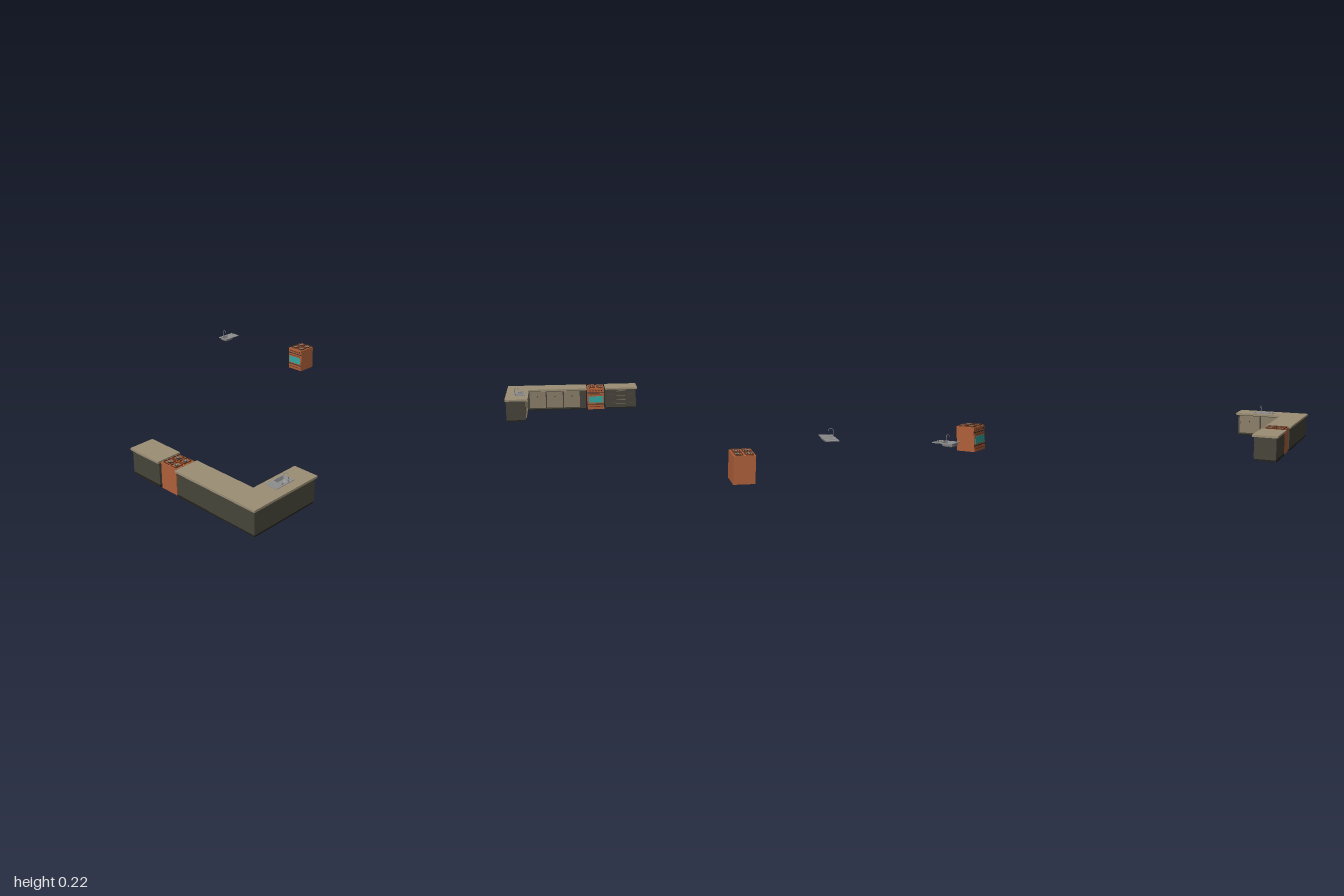
import * as THREE from 'three';

const mat = (color, extra = {}) => new THREE.MeshStandardMaterial({ color, ...extra });
const M = {
  body: mat(0x47453a), dark: mat(0x24231f), top: mat(0x9c8e75), door: mat(0x8b7f69),
  copper: mat(0xb0613a), trim: mat(0x6e3a20), glass: mat(0x35a8a2), black: mat(0x2a2a2a),
  steel: mat(0x909090, { side: THREE.DoubleSide, flatShading: true }), grey: mat(0x8c8c8c),
};

function add(parent, name, geometry, material, x = 0, y = 0, z = 0) {
  const mesh = new THREE.Mesh(geometry, material);
  mesh.name = name;
  mesh.position.set(x, y, z);
  parent.add(mesh);
  return mesh;
}

// Box given by its lower and upper limits
function box(parent, name, material, x0, x1, y0, y1, z0, z1) {
  return add(parent, name, new THREE.BoxGeometry(x1 - x0, y1 - y0, z1 - z0), material,
    (x0 + x1) / 2, (y0 + y1) / 2, (z0 + z1) / 2);
}

const rect = (x0, x1, z0, z1) => [[x0, z0], [x1, z0], [x1, z1], [x0, z1]];
const toPoints = (list) => list.map(([x, z]) => new THREE.Vector2(x, -z));

// Upright slab from a plan outline in x and z, with an optional opening
function slab(parent, name, material, outline, y0, y1, hole) {
  const shape = new THREE.Shape(toPoints(outline));
  if (hole) shape.holes.push(new THREE.Path(toPoints(hole)));
  const g = new THREE.ExtrudeGeometry(shape, { depth: y1 - y0, bevelEnabled: false });
  g.rotateX(-Math.PI / 2);
  return add(parent, name, g, material, 0, y0, 0);
}

function createSink() {
  const sink = new THREE.Group();
  sink.name = 'sink';
  const [x0, x1, z0, z1] = [-0.027, 0.033, -0.014, 0.064];
  slab(sink, 'sinkRim', M.steel, rect(-0.039, 0.039, -0.07, 0.07), 0.162, 0.166, rect(x0, x1, z0, z1));
  // Tapered bowl
  const r = Math.SQRT2;
  const bowl = new THREE.LatheGeometry(
    [[0, 0], [0.55 * r, 0], [0.85 * r, 0.006], [r, 0.025]].map(([a, b]) => new THREE.Vector2(a, b)), 4);
  bowl.rotateY(Math.PI / 4);
  bowl.scale((x1 - x0) / 2, 1, (z1 - z0) / 2);
  add(sink, 'bowl', bowl, M.steel, (x0 + x1) / 2, 0.14, (z0 + z1) / 2);
  add(sink, 'drain', new THREE.CylinderGeometry(0.005, 0.005, 0.001, 12), M.black, 0.003, 0.1407, 0.025);
  // Draining board ridges
  for (let i = 0; i < 6; i++) {
    const z = -0.062 + i * 0.008;
    box(sink, 'drainerRidge', M.steel, -0.03, 0.032, 0.166, 0.167, z, z + 0.002);
  }
  // Tap with a hooked spout
  const path = new THREE.CatmullRomCurve3([
    [-0.033, 0.165], [-0.033, 0.197], [-0.03, 0.208], [-0.02, 0.214], [-0.008, 0.21], [-0.003, 0.2],
  ].map(([x, y]) => new THREE.Vector3(x, y, 0.028)));
  add(sink, 'tapSpout', new THREE.TubeGeometry(path, 24, 0.0017, 8), M.grey);
  add(sink, 'tapBase', new THREE.CylinderGeometry(0.003, 0.004, 0.012, 10), M.grey, -0.033, 0.172, 0.028);
  box(sink, 'tapLever', M.grey, -0.034, -0.032, 0.176, 0.178, 0.028, 0.038);
  return sink;
}

function createStove() {
  const stove = new THREE.Group();
  stove.name = 'stove';
  const w = 0.061, d = 0.066;
  box(stove, 'stoveBody', M.copper, -w, w, 0, 0.16, -d, d);
  // Front panels, window and dark joints
  box(stove, 'ovenDoor', M.copper, -0.059, 0.059, 0.045, 0.122, d, d + 0.003);
  box(stove, 'ovenWindow', M.glass, -0.052, 0.052, 0.052, 0.1, d, d + 0.0045);
  box(stove, 'controlPanel', M.copper, -0.059, 0.059, 0.129, 0.157, d, d + 0.003);
  box(stove, 'warmingDrawer', M.copper, -0.059, 0.059, 0.006, 0.036, d, d + 0.003);
  for (const y of [0.122, 0.036]) box(stove, 'panelJoint', M.black, -w, w, y, y + 0.006, d, d + 0.001);
  for (const y of [0.112, 0.022]) {
    box(stove, 'handle', M.trim, -0.05, 0.05, y - 0.002, y + 0.002, d + 0.005, d + 0.009);
    for (const x of [-0.045, 0.045])
      box(stove, 'handlePost', M.trim, x - 0.002, x + 0.002, y - 0.002, y + 0.002, d, d + 0.006);
  }
  for (let i = 0; i < 5; i++) {
    const knob = add(stove, 'knob', new THREE.CylinderGeometry(0.005, 0.006, 0.006, 12),
      i === 4 ? M.black : M.trim, -0.042 + i * 0.021, 0.143, d + 0.005);
    knob.rotation.x = Math.PI / 2;
  }
  // Four burners with pan supports
  for (const x of [-0.029, 0.029]) {
    for (const z of [-0.033, 0.03]) {
      add(stove, 'burner', new THREE.CylinderGeometry(0.011, 0.013, 0.003, 16), M.black, x, 0.1615, z);
      add(stove, 'burnerCap', new THREE.CylinderGeometry(0.006, 0.006, 0.002, 12), M.grey, x, 0.164, z);
      for (let i = 0; i < 4; i++) {
        const a = (i * Math.PI) / 2;
        const bar = add(stove, 'panSupport', new THREE.BoxGeometry(0.014, 0.002, 0.002), M.grey,
          x + Math.cos(a) * 0.013, 0.167, z + Math.sin(a) * 0.013);
        bar.rotation.y = -a;
      }
      for (const s of [-1, 1]) {
        box(stove, 'grateSide', M.trim, x + s * 0.021 - 0.001, x + s * 0.021 + 0.001, 0.16, 0.167, z - 0.026, z + 0.026);
        box(stove, 'grateEnd', M.trim, x - 0.021, x + 0.021, 0.16, 0.167, z + s * 0.026 - 0.001, z + s * 0.026 + 0.001);
      }
    }
  }
  return stove;
}

// Framed cupboard door facing -z, centred on its own origin
function createDoor(w, h) {
  const door = new THREE.Group();
  door.name = 'cupboardDoor';
  const frame = 0.008;
  box(door, 'doorPanel', M.door, -w / 2, w / 2, -h / 2, h / 2, -0.003, 0);
  for (const s of [-1, 1]) {
    const x = s * (w / 2 - frame / 2), y = s * (h / 2 - frame / 2);
    box(door, 'doorStile', M.door, x - frame / 2, x + frame / 2, -h / 2, h / 2, -0.005, -0.003);
    box(door, 'doorRail', M.door, -w / 2 + frame, w / 2 - frame, y - frame / 2, y + frame / 2, -0.005, -0.003);
  }
  add(door, 'doorKnob', new THREE.SphereGeometry(0.004, 10, 8), M.dark, 0, h * 0.2, -0.007);
  return door;
}

function createCounter() {
  const counter = new THREE.Group();
  counter.name = 'counter';
  const hole = rect(0.845, 0.904, 0.642, 0.718);
  // Long L-shaped run
  slab(counter, 'cornerPlinth', M.dark,
    [[0.4, 0.87], [0.845, 0.87], [0.845, 0.535], [0.965, 0.535], [0.965, 0.988], [0.4, 0.988]], 0, 0.014);
  slab(counter, 'cornerCabinet', M.body,
    [[0.395, 0.855], [0.83, 0.855], [0.83, 0.53], [0.967, 0.53], [0.967, 0.99], [0.395, 0.99]], 0.012, 0.15, hole);
  slab(counter, 'cornerWorktop', M.top,
    [[0.388, 0.84], [0.815, 0.84], [0.815, 0.517], [0.975, 0.517], [0.975, 1], [0.388, 1]], 0.15, 0.163, hole);
  // Short run with drawers
  box(counter, 'drawerPlinth', M.dark, 0.022, 0.245, 0, 0.014, 0.87, 0.988);
  box(counter, 'drawerCabinet', M.body, 0.02, 0.247, 0.012, 0.15, 0.855, 0.99);
  box(counter, 'drawerWorktop', M.top, 0.01, 0.25, 0.15, 0.163, 0.84, 1);
  for (let i = 0; i < 4; i++) {
    const y = 0.018 + i * 0.033;
    box(counter, 'drawerFront', M.body, 0.026, 0.241, y, y + 0.028, 0.85, 0.855);
    box(counter, 'drawerHandle', M.door, 0.1, 0.167, y + 0.018, y + 0.021, 0.846, 0.85);
  }
  // Back skirting
  for (const [x0, x1] of [[0.02, 0.247], [0.395, 0.62]])
    box(counter, 'backSkirting', M.dark, x0, x1, 0, 0.014, 0.985, 0.991);
  // Doors along both inner faces
  for (let i = 0; i < 3; i++) {
    const door = createDoor(0.118, 0.122);
    door.position.set(0.5 + i * 0.126, 0.083, 0.855);
    counter.add(door);
  }
  for (let i = 0; i < 2; i++) {
    const door = createDoor(0.145, 0.122);
    door.position.set(0.83, 0.083, 0.615 + i * 0.155);
    door.rotation.y = Math.PI / 2;
    counter.add(door);
  }
  return counter;
}

export function createModel() {
  const model = new THREE.Group();
  model.name = 'kitchenSet';
  model.add(createCounter());
  // Each fitting appears once in the counter and once standing apart
  const place = (part, x, z, turn) => {
    part.position.set(x, 0, z);
    part.rotation.y = turn;
    model.add(part);
  };
  place(createStove(), 0.32, 0.919, Math.PI);
  place(createStove(), -0.379, -0.934, 0);
  place(createSink(), 0.877, 0.705, Math.PI);
  place(createSink(), -0.938, -0.72, 0);
  return model;
}
